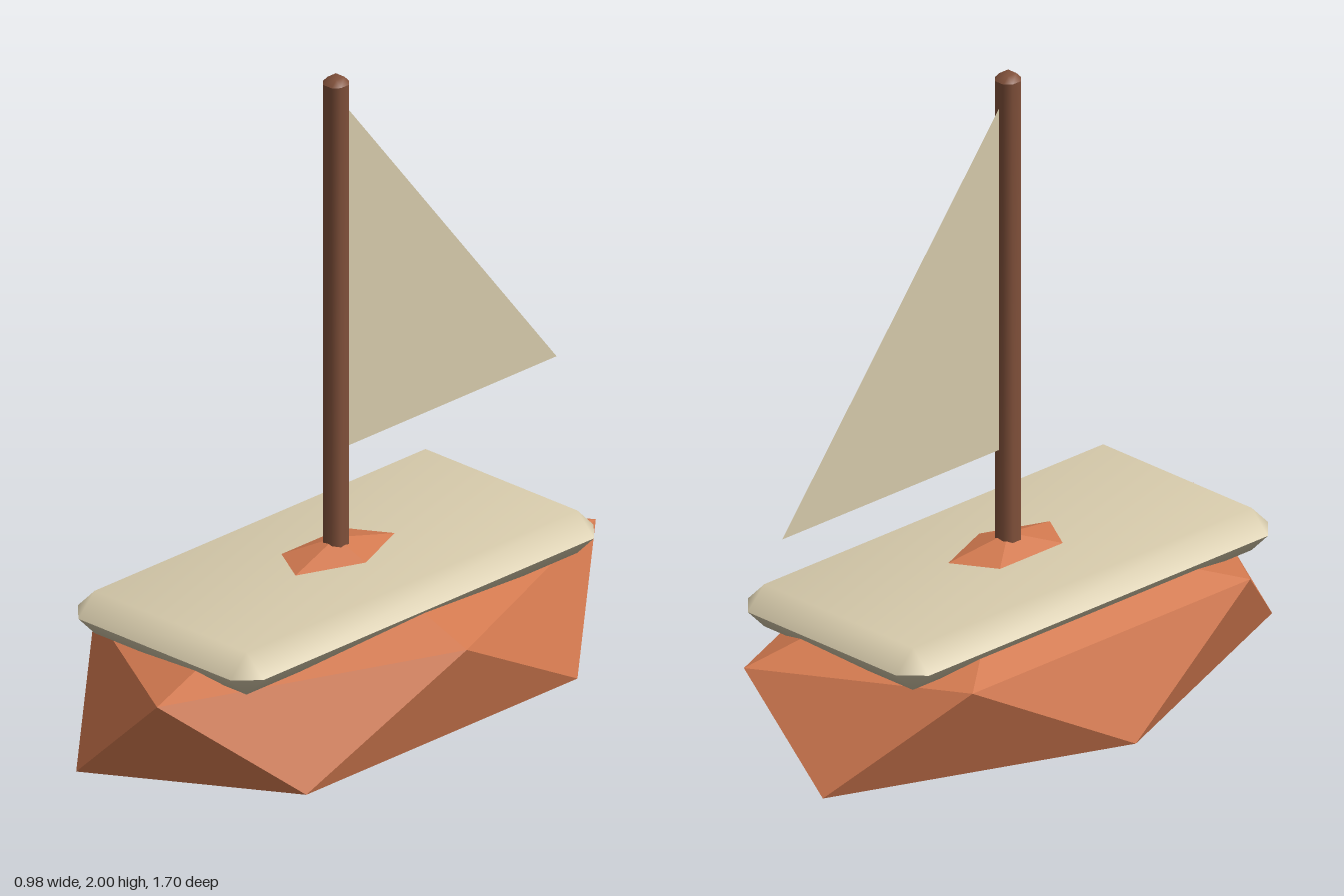
import * as THREE from 'three';
import { mergeVertices, mergeGeometries } from 'three/addons/utils/BufferGeometryUtils.js';

// Build a geometry from points and triangle corner indices
function fromFaces(points, index) {
  const g = new THREE.BufferGeometry();
  g.setAttribute('position', new THREE.Float32BufferAttribute(points.flat(), 3));
  g.setIndex(index);
  return g;
}

// Faceted hull: two pointed caps joined by a zigzag band of five-sided rings
function hullGeometry(rx, rz, height) {
  const lowY = height * 0.2764, highY = height * 0.7236;
  const ring = (y, shift) => Array.from({ length: 5 }, (_, k) => {
    const a = (k + shift) * Math.PI * 0.4;
    return [rx * Math.cos(a), y, rz * Math.sin(a)];
  });
  const points = [[0, height, 0], [0, 0, 0], ...ring(highY, 0), ...ring(lowY, 0.5)];
  const index = [];
  for (let k = 0; k < 5; k++) {
    const n = (k + 1) % 5;
    const u = 2 + k, un = 2 + n, l = 7 + k, ln = 7 + n;
    index.push(0, un, u, u, un, l, l, un, ln, 1, l, ln);
  }
  const g = fromFaces(points, index).toNonIndexed();
  g.computeVertexNormals();
  return g;
}

// Box with bevel b on every edge and corner, softly shaded over each bevel
function bevelBox(hx, hz, y0, y1, b) {
  // Eight points around; inset rings collapse to the four corners
  const ring = (y, inset) => {
    const x = hx - b, z = hz - b, o = inset ? 0 : b;
    return [
      [x + o, y, z], [x, y, z + o], [-x, y, z + o], [-x - o, y, z],
      [-x - o, y, -z], [-x, y, -z - o], [x, y, -z - o], [x + o, y, -z],
    ];
  };
  const band = (low, high, cap) => {
    const index = [];
    for (let i = 0; i < 8; i++) {
      const n = (i + 1) % 8;
      index.push(i, i + 8, n, n, i + 8, n + 8);
    }
    for (let i = 1; i < 7; i++) {
      if (cap === 'top') index.push(8, 8 + i + 1, 8 + i);
      if (cap === 'bottom') index.push(0, i, i + 1);
    }
    const g = mergeVertices(fromFaces([...low, ...high], index));
    g.computeVertexNormals();
    return g;
  };
  const lower = ring(y0 + b, false), upper = ring(y1 - b, false);
  const parts = [band(ring(y0, true), lower, 'bottom'), band(upper, ring(y1, true), 'top')];
  if (y1 - y0 > 2 * b + 1e-4) parts.push(band(lower, upper));
  return mergeGeometries(parts);
}

export function createModel() {
  const model = new THREE.Group();
  model.name = 'sailboat';

  const material = (name, color, options = {}) => {
    const m = new THREE.MeshStandardMaterial({ color, ...options });
    m.name = name;
    return m;
  };
  const orange = material('orange hull', 0xd2794f, { flatShading: true });
  const cream = material('cream', 0xd6caab, { side: THREE.DoubleSide });
  const brown = material('brown wood', 0x80503a);

  const add = (name, geometry, mat) => {
    const mesh = new THREE.Mesh(geometry, mat);
    mesh.name = name;
    model.add(mesh);
  };

  add('hull', hullGeometry(0.49, 0.889, 0.64), orange);
  add('deck', bevelBox(0.347, 0.7, 0.475, 0.6, 0.0625), cream);
  add('mast', bevelBox(0.034, 0.034, 0.5, 2, 0.018), brown);

  // Triangular sail behind the mast
  const sail = fromFaces([[0, 0.895, -0.03], [0, 0.895, -0.85], [0, 1.91, -0.03]], [0, 1, 2]);
  sail.computeVertexNormals();
  add('sail', sail, cream);

  return model;
}
